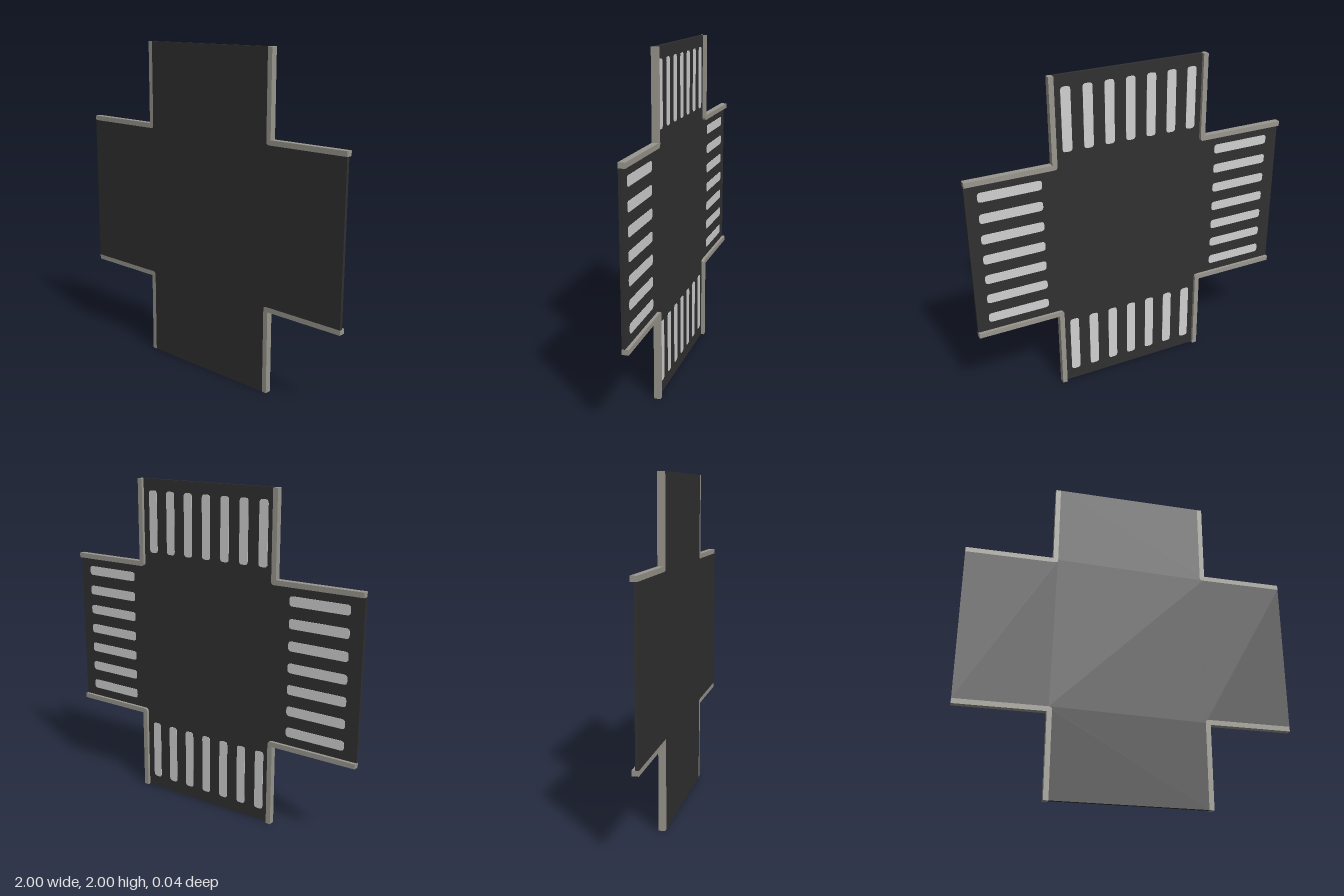
import * as THREE from 'three';

const mat = (name, color) => {
  const m = new THREE.MeshStandardMaterial({ color });
  m.name = name;
  return m;
};

// Plan dimensions: edges of the kerbs, given for each side
const HALF = 0.019; // half of the kerb height (z)
const X = { '1': { inner: 0.47, outer: 0.5, end: 1 }, '-1': { inner: -0.44, outer: -0.47, end: -1 } };
const Y = { '1': { inner: 1.47, outer: 1.5, end: 2 }, '-1': { inner: 0.535, outer: 0.505, end: 0 } };
const ROUND = 0.02;

export function createModel() {
  const asphalt = mat('asphalt', 0x303030);
  const kerbStone = mat('kerb stone', 0x98968d);
  const paint = mat('crossing paint', 0xd0d0d0);
  const model = new THREE.Group();
  model.name = 'crossroads';

  const add = (parent, name, shape, depth, z, material) => {
    const geo = new THREE.ExtrudeGeometry(shape, { depth, bevelEnabled: false, curveSegments: 4 });
    const mesh = new THREE.Mesh(geo, material);
    mesh.name = name;
    mesh.position.z = z;
    parent.add(mesh);
  };

  // Rounded street corner, running from the vertical arm to the horizontal arm
  const corner = (sx, sy) => {
    const x = X[sx].inner, y = Y[sy].inner;
    return new THREE.QuadraticBezierCurve(
      new THREE.Vector2(x, y + sy * ROUND),
      new THREE.Vector2(x, y),
      new THREE.Vector2(x + sx * ROUND, y)
    ).getPoints(4);
  };
  const vec = (x, y) => new THREE.Vector2(x, y);

  // Cross-shaped road slab
  const outline = [];
  for (const [sx, sy] of [[1, 1], [1, -1], [-1, -1], [-1, 1]]) {
    const pts = [vec(X[sx].inner, Y[sy].end), ...corner(sx, sy), vec(X[sx].end, Y[sy].inner)];
    outline.push(...(sx * sy > 0 ? pts : pts.reverse()));
  }
  add(model, 'road', new THREE.Shape(outline), HALF, 0, asphalt);

  // L-shaped kerb in each of the four corners
  for (const sx of [1, -1]) {
    for (const sy of [1, -1]) {
      const a = X[sx], b = Y[sy];
      const shape = new THREE.Shape([
        vec(a.inner, b.end), ...corner(sx, sy), vec(a.end, b.inner),
        vec(a.end, b.outer), vec(a.outer, b.outer), vec(a.outer, b.end)
      ]);
      add(model, 'kerb', shape, HALF * 2, -HALF, kerbStone);
    }
  }

  // Painted stripes on the road surface, seven across each arm
  const stripe = (w, h, r = 0.02) => {
    const s = new THREE.Shape();
    const x = w / 2, y = h / 2;
    s.moveTo(-x + r, -y);
    s.lineTo(x - r, -y);
    s.quadraticCurveTo(x, -y, x, -y + r);
    s.lineTo(x, y - r);
    s.quadraticCurveTo(x, y, x - r, y);
    s.lineTo(-x + r, y);
    s.quadraticCurveTo(-x, y, -x, y - r);
    s.lineTo(-x, -y + r);
    s.quadraticCurveTo(-x, -y, -x + r, -y);
    return s;
  };
  const crossing = (name, cx, cy, upright) => {
    const group = new THREE.Group();
    group.name = name;
    for (let i = -3; i <= 3; i++) {
      const shape = upright ? stripe(0.058, 0.375) : stripe(0.37, 0.058);
      add(group, 'stripe', shape, 0.002, -0.002, paint);
      const mesh = group.children[group.children.length - 1];
      mesh.position.x = cx + (upright ? i * 0.129 : 0);
      mesh.position.y = cy + (upright ? 0 : i * 0.129);
    }
    model.add(group);
  };
  crossing('topCrossing', 0.013, 1.745, true);
  crossing('bottomCrossing', 0.013, 0.26, true);
  crossing('leftCrossing', 0.745, 1.003, false);
  crossing('rightCrossing', -0.735, 1.003, false);

  return model;
}
